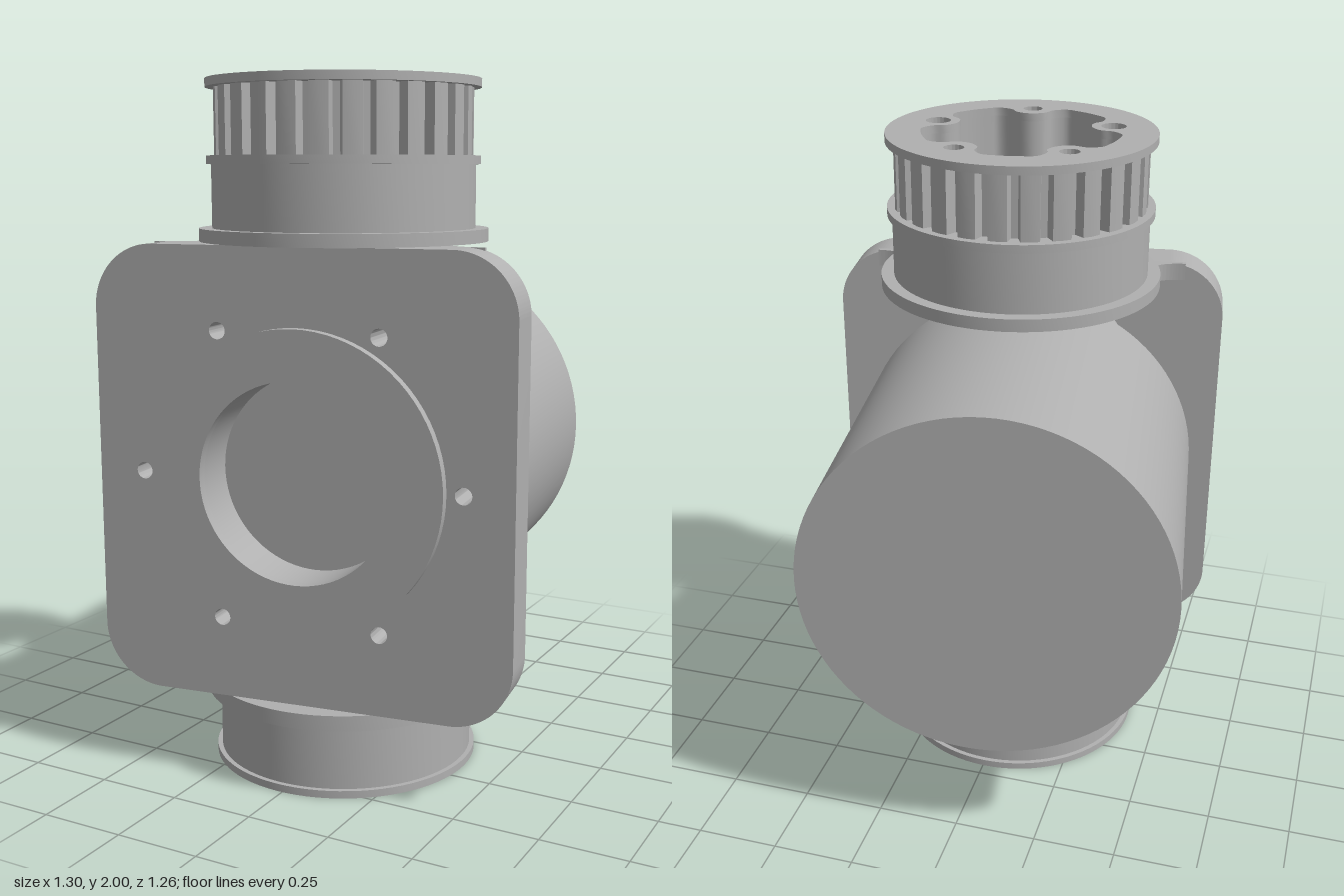
import * as THREE from 'three';
import { toCreasedNormals } from 'three/addons/utils/BufferGeometryUtils.js';

const CENTRE_Y = 0.9;    // height of the motor axis
const HUB_Z = -0.36;     // pulley axis behind the plate front
const BOLT_R = 0.272;    // pulley bolt circle
const STEP = (Math.PI * 2) / 5;

const polar = (r, a) => new THREE.Vector2(r * Math.sin(a), -r * Math.cos(a));

function circle(x, y, r, Kind = THREE.Path) {
  const p = new Kind();
  p.absarc(x, y, r, 0, Math.PI * 2, false);
  return p;
}

function extrude(shape, depth) {
  const g = new THREE.ExtrudeGeometry(shape, { depth, bevelEnabled: false, curveSegments: 40 });
  return toCreasedNormals(g, 0.5);
}

// Five-lobed opening that curves around the bolt bosses
function lobedOpening(scale) {
  const pts = [];
  for (let k = 0; k < 5; k++) {
    const a = k * STEP;
    const c = polar(BOLT_R, a);
    for (const d of [-75, -40, 0, 40, 75]) {
      const p = polar(0.065, a + Math.PI - THREE.MathUtils.degToRad(d)).add(c);
      pts.push(p);
    }
    for (const d of [21, 28, 36, 44, 51]) pts.push(polar(0.29, a + THREE.MathUtils.degToRad(d)));
  }
  const curve = new THREE.CatmullRomCurve3(pts.map(p => new THREE.Vector3(p.x * scale, p.y * scale, 0)), true);
  return new THREE.Path(curve.getPoints(200).slice(0, -1).map(p => new THREE.Vector2(p.x, p.y)));
}

// Toothed outline of the belt wheel
function toothedOutline() {
  const n = 26, pts = [];
  for (let i = 0; i < n; i++) {
    for (const [f, r] of [[0, 0.37], [0.3, 0.372], [0.6, 0.37], [0.68, 0.335], [0.92, 0.335]]) {
      const a = ((i + f) / n) * Math.PI * 2;
      pts.push(new THREE.Vector2(r * Math.cos(a), r * Math.sin(a)));
    }
  }
  return new THREE.Shape(pts);
}

export function createModel() {
  const grey = new THREE.MeshStandardMaterial({ color: 0xb0b0b0 });
  grey.name = 'machined grey';
  const model = new THREE.Group();
  model.name = 'motorJoint';
  const body = new THREE.Group();
  body.name = 'jointBody';
  body.rotation.y = THREE.MathUtils.degToRad(8);
  body.position.set(0.04, 0, 0.54);
  model.add(body);

  const add = (name, geo, x = 0, y = 0, z = 0) => {
    const m = new THREE.Mesh(geo, grey);
    m.name = name;
    m.position.set(x, y, z);
    body.add(m);
    return m;
  };

  // Horizontal slab between two heights
  const slab = (name, shape, y0, y1, z = 0) =>
    add(name, extrude(shape, y1 - y0).rotateX(-Math.PI / 2), 0, y0, z);

  // Pulley layer with lobed opening and bolt holes
  const pulleyLayer = (name, outline, y0, y1, scale = 1) => {
    outline.holes.push(lobedOpening(scale));
    for (let k = 0; k < 5; k++) {
      const c = polar(BOLT_R, k * STEP);
      outline.holes.push(circle(c.x, c.y, k === 1 || k === 4 ? 0.037 : 0.029));
    }
    slab(name, outline, y0, y1, HUB_Z);
  };
  const disc = r => circle(0, 0, r, THREE.Shape);

  // Lower hub
  pulleyLayer('lowerRim', disc(0.394), 0, 0.022);
  pulleyLayer('lowerHub', disc(0.38), 0.022, 0.21);
  pulleyLayer('lowerFlange', disc(0.418), 0.21, 0.255, 0.93);

  // Upper hub and toothed belt wheel
  pulleyLayer('upperFlange', disc(0.418), 1.545, 1.582, 0.93);
  pulleyLayer('upperHub', disc(0.38), 1.582, 1.762);
  pulleyLayer('beltRimLower', disc(0.394), 1.762, 1.786);
  pulleyLayer('beltTeeth', toothedOutline(), 1.786, 1.976);
  pulleyLayer('beltRimUpper', disc(0.394), 1.976, 2);

  // Mounting plate with rounded corners
  const w = 0.616, h = 0.645, r = 0.18;
  const plate = new THREE.Shape();
  plate.moveTo(w, -h + r);
  plate.absarc(w - r, h - r, r, 0, Math.PI / 2, false);
  plate.absarc(-w + r, h - r, r, Math.PI / 2, Math.PI, false);
  plate.absarc(-w + r, -h + r, r, Math.PI, Math.PI * 1.5, false);
  plate.absarc(w - r, -h + r, r, Math.PI * 1.5, Math.PI * 2, false);
  plate.holes.push(circle(0, 0, 0.285));
  const screws = Array.from({ length: 6 }, (_, i) => [0.474 * Math.cos(i * Math.PI / 3), 0.474 * Math.sin(i * Math.PI / 3)]);
  for (const [x, y] of screws) plate.holes.push(circle(x, y, 0.024));
  add('mountingPlate', extrude(plate, 0.132), 0, CENTRE_Y, -0.132);

  // Raised ring around the front bore
  const ring = disc(0.427);
  ring.holes.push(circle(0, 0, 0.285));
  add('frontRing', extrude(ring, 0.03), 0, CENTRE_Y, 0);

  // Motor with a narrower neck
  const rod = (name, radius, z0, z1, x = 0, y = 0) =>
    add(name, new THREE.CylinderGeometry(radius, radius, z1 - z0, 96).rotateX(Math.PI / 2),
      x, CENTRE_Y + y, (z0 + z1) / 2);
  rod('motorBody', 0.54, -1.111, -0.197);
  rod('motorNeck', 0.45, -0.2, -0.132);

  // Hollow screw bosses between plate and motor
  for (const [x, y] of screws) {
    const boss = circle(0, 0, 0.052, THREE.Shape);
    boss.holes.push(circle(0, 0, 0.024));
    add('screwBoss', extrude(boss, 0.067), x, CENTRE_Y + y, -0.198);
  }

  // Ears that tie the plate to both hubs
  for (const side of [-1, 1]) {
    const cx = BOLT_R * Math.sin(STEP), cz = 0.36 - BOLT_R * Math.cos(STEP);
    for (const [y0, y1] of [[0.255, 0.308], [1.492, 1.545]]) {
      const ear = new THREE.Shape();
      ear.moveTo(side * 0.14, 0.12);
      ear.lineTo(side * 0.49, 0.12);
      ear.lineTo(side * 0.49, 0.134);
      ear.bezierCurveTo(side * 0.42, 0.136, side * 0.4, 0.16, side * 0.375, 0.195);
      ear.quadraticCurveTo(side * 0.355, 0.225, side * (cx + 0.08), cz);
      for (let i = 1; i <= 20; i++) {
        const a = (i / 20) * Math.PI;
        ear.lineTo(side * (cx + 0.08 * Math.cos(a)), cz + 0.08 * Math.sin(a));
      }
      ear.quadraticCurveTo(side * (cx - 0.08), 0.16, side * 0.14, 0.132);
      ear.holes.push(circle(side * cx, cz, 0.032));
      slab('hubEar', ear, y0, y1);
    }
  }
  return model;
}
